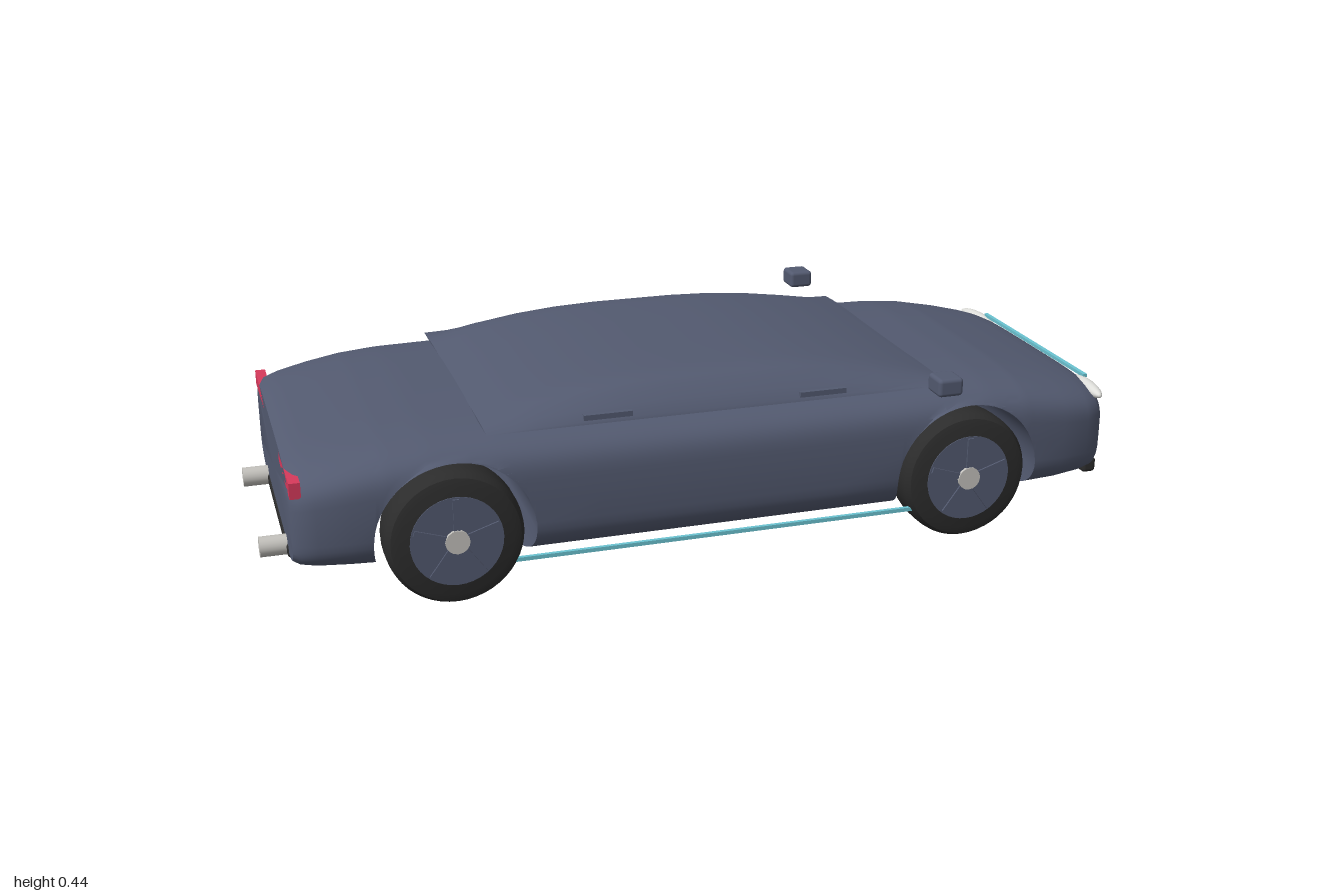
import * as THREE from 'three';
import { toCreasedNormals } from 'three/addons/utils/BufferGeometryUtils.js';
import { RoundedBoxGeometry } from 'three/addons/geometries/RoundedBoxGeometry.js';

const mat = (name, color) => Object.assign(new THREE.MeshStandardMaterial({ color }), { name });

// Skin a list of rings (ordered along +x, each running from +z over the top) and cap both ends
function loft(rings, crease) {
  const n = rings[0].length, pos = [], idx = [];
  rings.forEach(r => r.forEach(p => pos.push(...p)));
  for (let i = 0; i < rings.length - 1; i++) {
    for (let j = 0; j < n; j++) {
      const a = i * n + j, d = i * n + (j + 1) % n;
      idx.push(a, a + n, d + n, a, d + n, d);
    }
  }
  [[0, false], [rings.length - 1, true]].forEach(([i, end]) => {
    const c = pos.length / 3, r = rings[i];
    pos.push(...[0, 1, 2].map(k => r.reduce((s, p) => s + p[k], 0) / n));
    for (let j = 0; j < n; j++) {
      const a = i * n + j, b = i * n + (j + 1) % n;
      idx.push(c, ...(end ? [b, a] : [a, b]));
    }
  });
  const g = new THREE.BufferGeometry();
  g.setAttribute('position', new THREE.Float32BufferAttribute(pos, 3));
  g.setIndex(idx);
  return toCreasedNormals(g, crease);
}

// Linear lookup in rows of [x, value, value, ...]
function lookup(rows, x) {
  let i = 1;
  while (i < rows.length - 1 && rows[i][0] < x) i++;
  const a = rows[i - 1], b = rows[i];
  const t = THREE.MathUtils.clamp((x - a[0]) / (b[0] - a[0]), 0, 1);
  return a.map((v, k) => v + (b[k] - v) * t).slice(1);
}

const WHEEL_X = 0.6, WHEEL_Y = 0.155, ARCH = 0.176;

// Body: rounded sections with wheel tunnels cut across the full width
function bodyGeometry() {
  // x, half width, bottom, top
  const plan = [
    [-0.94, 0.365, 0.092, 0.315], [-0.925, 0.385, 0.088, 0.325], [-0.89, 0.4, 0.085, 0.335],
    [-0.82, 0.411, 0.082, 0.35], [-0.74, 0.417, 0.078, 0.364], [-0.65, 0.42, 0.074, 0.372],
    [-0.5, 0.42, 0.07, 0.375], [0.55, 0.42, 0.07, 0.375], [0.66, 0.419, 0.072, 0.373],
    [0.75, 0.416, 0.076, 0.364], [0.85, 0.409, 0.081, 0.344], [0.92, 0.396, 0.087, 0.327],
    [0.955, 0.38, 0.091, 0.317], [0.972, 0.36, 0.096, 0.31], [0.982, 0.335, 0.104, 0.301],
    [0.986, 0.3, 0.118, 0.288]];
  const N = 72, pw = v => Math.sign(v) * Math.pow(Math.abs(v), 2 / 4.5);
  const ring = (x, floor = 0, edge = 0) => {
    const [w, lo, hi] = lookup(plan, x);
    return Array.from({ length: N }, (_, j) => {
      const t = j / N * Math.PI * 2;
      const y = Math.max(floor, (lo + hi) / 2 + (hi - lo) / 2 * pw(Math.sin(t)));
      const dy = Math.min(0, y - WHEEL_Y);
      const px = edge ? x - edge * (ARCH - Math.sqrt(ARCH * ARCH - dy * dy)) : x;
      return [px, y, w * pw(Math.cos(t))];
    });
  };
  const rings = [];
  const between = (a, b) => plan.forEach(([x]) => { if (x > a && x < b) rings.push(ring(x)); });
  between(-2, -WHEEL_X - ARCH);
  [-WHEEL_X, WHEEL_X].forEach((cx, k) => {
    rings.push(ring(cx - ARCH, 0, -1));
    for (let i = 0; i <= 28; i++) {
      const a = i / 28 * Math.PI;
      rings.push(ring(cx - ARCH * Math.cos(a), WHEEL_Y + ARCH * Math.sin(a)));
    }
    rings.push(ring(cx + ARCH, 0, 1));
    if (!k) for (let i = 1; i < 6; i++) rings.push(ring(-0.424 + i * 0.848 / 6));
  });
  between(WHEEL_X + ARCH, 2);
  return loft(rings, 0.7);
}

// Canopy: low roof shell with a straight lower edge
function canopyGeometry() {
  const heights = [
    [-0.52, 0.005], [-0.46, 0.025], [-0.4, 0.041], [-0.3, 0.058], [-0.2, 0.068], [-0.1, 0.072],
    [0.1, 0.072], [0.2, 0.068], [0.3, 0.058], [0.4, 0.042], [0.5, 0.022], [0.56, 0.005]];
  const half = [[0.377, 0], [0.374, 0.1], [0.352, 0.42], [0.325, 0.73], [0.305, 0.89],
    [0.28, 0.97], [0.24, 1], [0.1, 1]];
  const section = [...half, ...half.map(([z, y]) => [-z, y]).reverse()];
  return loft(heights.map(([x, h]) => section.map(([z, y]) => [x, 0.369 + h * y, z])), 0.6);
}

export function createModel() {
  const car = new THREE.Group();
  car.name = 'car';
  const paint = mat('slate paint', 0x535a70);
  const rubber = mat('black rubber', 0x2c2c2c);
  const trim = mat('dark trim', 0x363636);
  const metal = mat('pale metal', 0xc4c2bd);
  const lens = mat('headlight white', 0xdededa);
  const red = mat('tail red', 0xd83a5c);
  const cyan = mat('light strip cyan', 0x6cc4d2);

  const add = (name, geo, material, x = 0, y = 0, z = 0, parent = car) => {
    const m = new THREE.Mesh(geo, material);
    m.name = name;
    m.position.set(x, y, z);
    parent.add(m);
    return m;
  };
  const box = (w, h, d) => new THREE.BoxGeometry(w, h, d);

  add('body', bodyGeometry(), paint);
  add('canopy', canopyGeometry(), paint);

  // Wheels, with the outer face on +z
  const tyreGeo = toCreasedNormals(new THREE.LatheGeometry([
    [0, -0.057], [0.125, -0.057], [0.142, -0.052], [0.151, -0.038], [0.153, -0.02], [0.153, 0.02],
    [0.151, 0.038], [0.142, 0.052], [0.125, 0.057], [0, 0.057],
  ].map(p => new THREE.Vector2(...p)), 48), 0.6).rotateX(Math.PI / 2);
  const rimGeo = new THREE.CylinderGeometry(0.102, 0.102, 0.008, 40).rotateX(Math.PI / 2);
  const hubGeo = new THREE.CylinderGeometry(0.027, 0.027, 0.018, 16).rotateX(Math.PI / 2);
  const spokeGeo = box(0.014, 0.075, 0.006).translate(0, 0.06, 0);
  for (const x of [-WHEEL_X, WHEEL_X]) {
    for (const s of [-1, 1]) {
      const wheel = new THREE.Group();
      wheel.name = (x > 0 ? 'front' : 'rear') + 'Wheel';
      wheel.position.set(x, 0.153, s * 0.362);
      if (s < 0) wheel.rotation.y = Math.PI;
      car.add(wheel);
      add('tyre', tyreGeo, rubber, 0, 0, 0, wheel);
      add('rim', rimGeo, paint, 0, 0, 0.055, wheel);
      add('hub', hubGeo, metal, 0, 0, 0.057, wheel);
      for (let i = 0; i < 5; i++) {
        add('spoke', spokeGeo, paint, 0, 0, 0.06, wheel).rotation.z = i * Math.PI * 2 / 5;
      }
    }
  }

  // Tail light bar, thinner towards the middle of the car
  const tailGeo = box(0.024, 0.036, 0.21);
  const p = tailGeo.attributes.position;
  for (let i = 0; i < p.count; i++) if (p.getZ(i) < 0) p.setY(i, p.getY(i) * 0.55);

  // Parts mirrored on both sides
  for (const s of [-1, 1]) {
    add('mirror', new RoundedBoxGeometry(0.06, 0.042, 0.064, 3, 0.009), paint, 0.51, 0.405, s * 0.457);
    const head = add('headlight', new THREE.SphereGeometry(1, 32, 16), lens, 0.971, 0.296, s * 0.292);
    head.scale.set(0.018, 0.016, 0.076);
    head.rotation.y = -s * 0.1;
    const tail = add('tailLight', tailGeo, red, -0.928, 0.293, s * 0.275);
    if (s < 0) tail.rotation.y = Math.PI;
    add('exhaust', new THREE.CylinderGeometry(0.023, 0.023, 0.09, 20).rotateZ(Math.PI / 2),
      metal, -0.955, 0.102, s * 0.21);
    add('sideStrip', box(0.95, 0.009, 0.009), cyan, 0, 0.083, s * 0.398);
    for (const x of [-0.25, 0.25]) add('doorHandle', box(0.11, 0.012, 0.012), paint, x, 0.384, s * 0.37);
  }

  // Nose and tail trim
  add('frontStrip', box(0.01, 0.008, 0.525), cyan, 0.981, 0.312);
  add('grille', box(0.02, 0.108, 0.36), trim, 0.986, 0.172);
  add('frontSplitter', new RoundedBoxGeometry(0.035, 0.037, 0.66, 3, 0.009), rubber, 0.974, 0.104);
  add('rearDiffuser', new RoundedBoxGeometry(0.05, 0.03, 0.5, 3, 0.008), rubber, -0.918, 0.098);
  return car;
}
